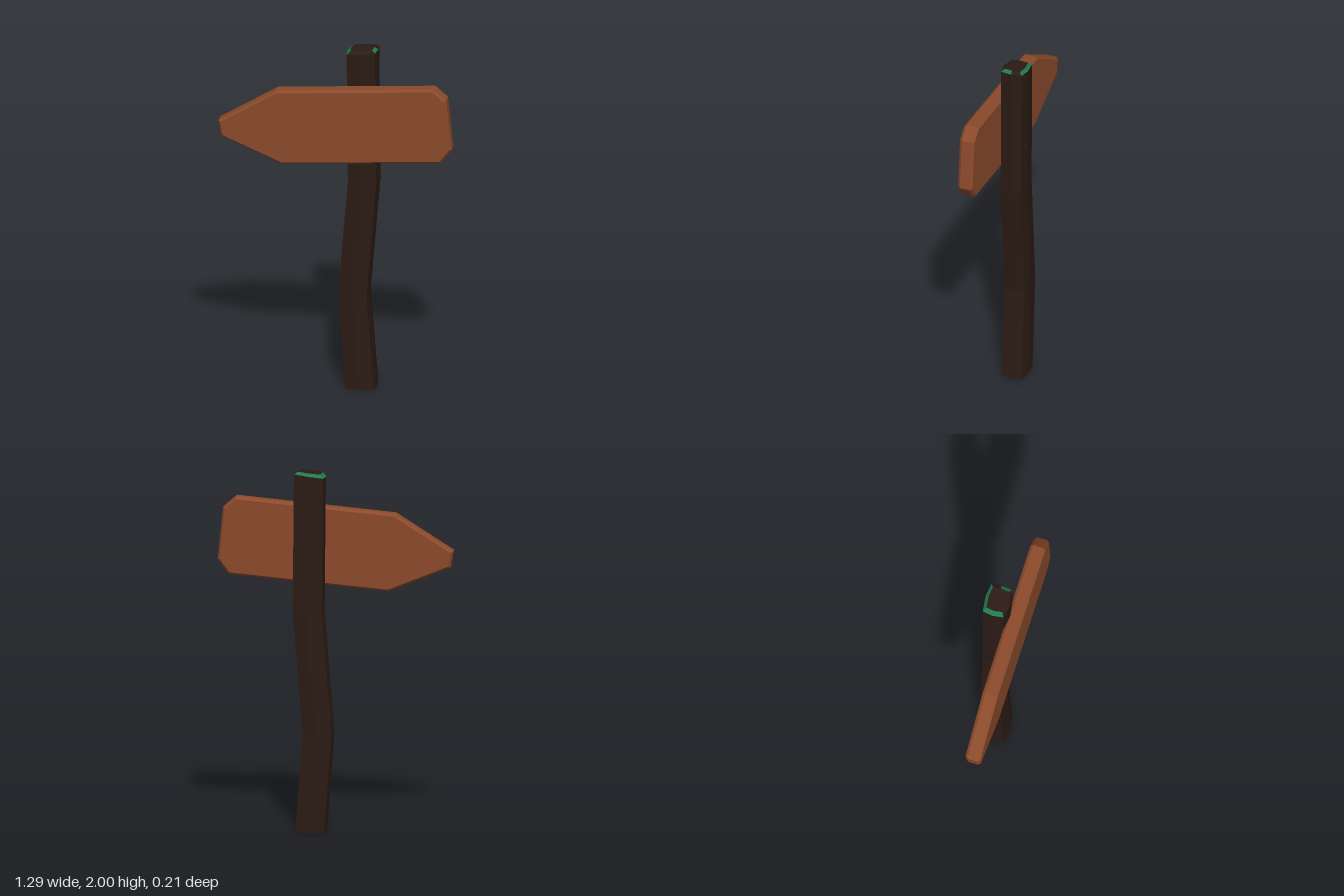
import * as THREE from 'three';

const paint = (color) => new THREE.MeshStandardMaterial({ color, flatShading: true });

// Post cross-section (x, z) around its own axis, clockwise from above
const SECTION = [
  [-0.087, -0.04], [-0.079, -0.098], [0.008, -0.108], [0.081, -0.098],
  [0.087, -0.04], [0.08, 0.021], [0.003, 0.035], [-0.078, 0.021],
];
const N = SECTION.length;
const MID_Z = -0.037;

function ring(cx, height, scale = 1) {
  return SECTION.map(([x, z]) => {
    const px = cx + x * scale;
    return [px, height(px), MID_Z + (z - MID_Z) * scale];
  });
}

function mesh(name, triangles, material) {
  const geometry = new THREE.BufferGeometry();
  geometry.setAttribute('position', new THREE.Float32BufferAttribute(triangles.flat(), 3));
  geometry.computeVertexNormals();
  const m = new THREE.Mesh(geometry, material);
  m.name = name;
  return m;
}

// Side panel i between two rings
function panel(low, high, i) {
  const j = (i + 1) % N;
  return [low[i], high[j], low[j], low[i], high[i], high[j]];
}

// Fan closing a ring, facing up or down
function cap(r, up) {
  const out = [];
  for (let i = 1; i < N - 1; i++) out.push(r[0], ...(up ? [r[i + 1], r[i]] : [r[i], r[i + 1]]));
  return out;
}

function createPost() {
  const post = new THREE.Group();
  post.name = 'post';
  const rings = [
    ring(0.12, () => 0),
    ring(0.079, () => 0.55),
    ring(0.133, () => 1.22),
    ring(0.126, (x) => 1.965 + (x - 0.04) * 0.13),
  ];
  const tip = ring(0.127, (x) => 1.985 + (x - 0.06) * 0.11, 0.75);

  const wood = [...cap(rings[0], false), ...cap(tip, true)];
  for (let k = 0; k < rings.length - 1; k++) {
    for (let i = 0; i < N; i++) wood.push(...panel(rings[k], rings[k + 1], i));
  }

  // Chamfered top rim, mossy on some of its facets
  const mossy = [0, 1, 2, 4, 7];
  const moss = [];
  for (let i = 0; i < N; i++) {
    (mossy.includes(i) ? moss : wood).push(...panel(rings[3], tip, i));
  }
  post.add(mesh('postWood', wood, paint(0x2b1b15)), mesh('mossRim', moss, paint(0x1f7a4d)));
  return post;
}

// Arrow-shaped board with chamfered edges
function createBoard() {
  const outline = [
    [-0.65, 1.555], [-0.635, 1.465], [-0.295, 1.325], [0.585, 1.4],
    [0.645, 1.48], [0.615, 1.77], [0.545, 1.83], [-0.33, 1.755],
  ];
  const shape = new THREE.Shape(outline.map(([x, y]) => new THREE.Vector2(x, y)));
  const geometry = new THREE.ExtrudeGeometry(shape, {
    depth: 0.055, bevelEnabled: true, bevelSegments: 1,
    bevelThickness: 0.015, bevelSize: 0.012, bevelOffset: -0.012,
  });
  geometry.translate(0, 0, 0.035);
  const board = new THREE.Mesh(geometry, paint(0x8b4a2b));
  board.name = 'arrowBoard';
  return board;
}

export function createModel() {
  const sign = new THREE.Group();
  sign.name = 'signpost';
  sign.add(createPost(), createBoard());
  return sign;
}
